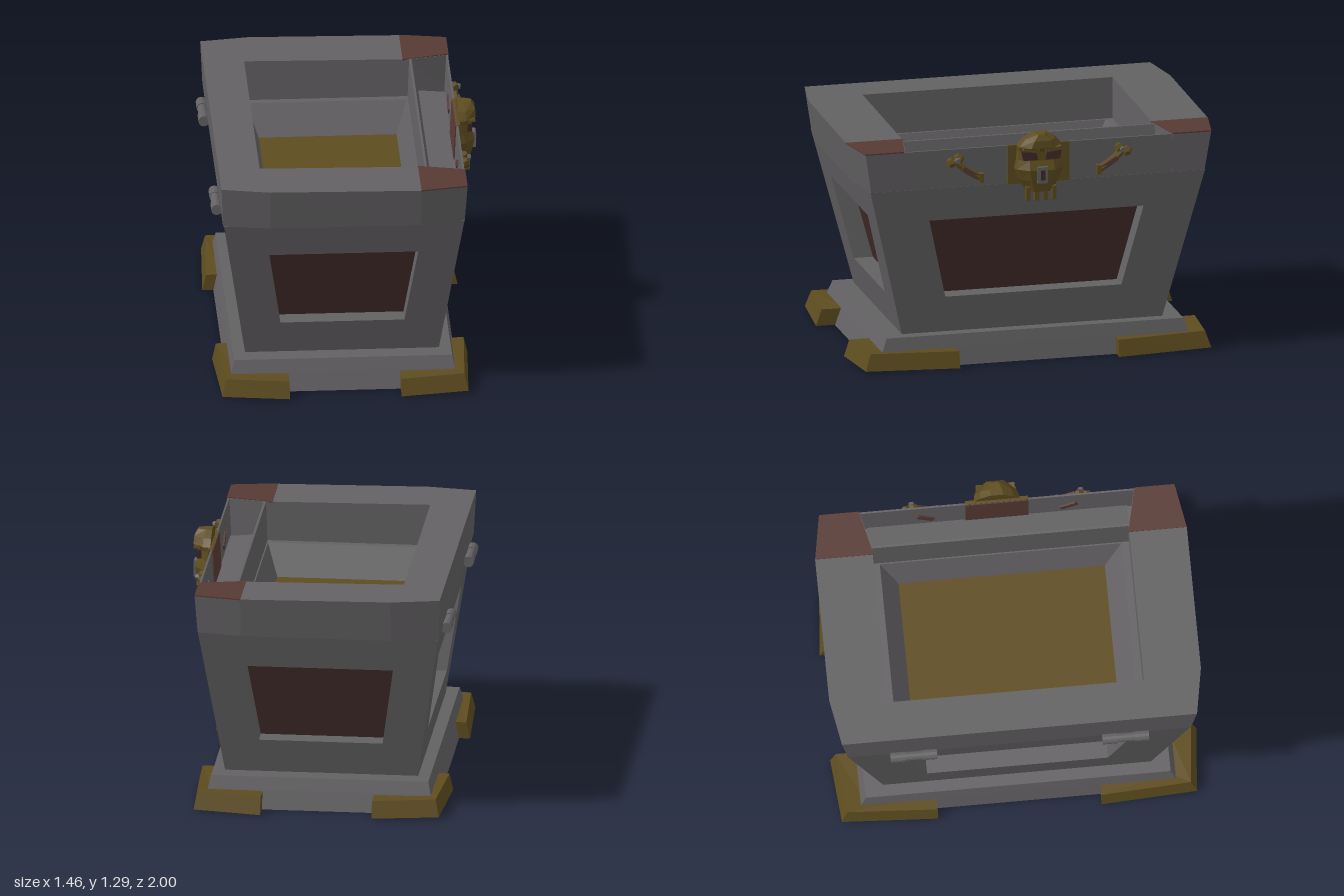
import * as THREE from 'three';

const mat = color => new THREE.MeshStandardMaterial({ color, flatShading: true });
const GREY = mat(0x636163), GOLD = mat(0x5d4c1e), BROWN = mat(0x412b28), RUST = mat(0x573a34);
const CX = -0.04; // body axis

function add(parent, name, geo, material, x = 0, y = 0, z = 0) {
  const mesh = new THREE.Mesh(geo, material);
  mesh.name = name;
  mesh.position.set(x, y, z);
  parent.add(mesh);
  return mesh;
}

// Skin through equal-length rings, listed counter-clockwise seen from above
function loft(rings, capped = false) {
  const v = [], n = rings[0].length;
  for (let k = 0; k + 1 < rings.length; k++) {
    for (let i = 0; i < n; i++) {
      const j = (i + 1) % n, a = rings[k], b = rings[k + 1];
      v.push(...a[i], ...a[j], ...b[j], ...a[i], ...b[j], ...b[i]);
    }
  }
  const first = rings[0], last = rings[rings.length - 1];
  for (let i = 1; capped && i + 1 < n; i++) {
    v.push(...first[0], ...first[i + 1], ...first[i], ...last[0], ...last[i], ...last[i + 1]);
  }
  const geo = new THREE.BufferGeometry();
  geo.setAttribute('position', new THREE.Float32BufferAttribute(v, 3));
  geo.computeVertexNormals();
  return geo;
}

const rect = (hx, hz, y) => [[CX - hx, y, hz], [CX + hx, y, hz], [CX + hx, y, -hz], [CX - hx, y, -hz]];

// Moves every vertex by a rule
function warp(geo, rule) {
  const p = geo.attributes.position, v = new THREE.Vector3();
  for (let i = 0; i < p.count; i++) {
    rule(v.fromBufferAttribute(p, i));
    p.setXYZ(i, v.x, v.y, v.z);
  }
  geo.computeVertexNormals();
  return geo;
}

const shapeOf = pts => new THREE.Shape(pts.map(p => new THREE.Vector2(...p)));
const prism = (shape, depth) => new THREE.ExtrudeGeometry(shape, { depth, bevelEnabled: false });
// Plan outline (x, z) raised from y0 to y1
function slab(pts, y0, y1) {
  return prism(shapeOf(pts.map(([x, z]) => [x, -z])), y1 - y0).rotateX(-Math.PI / 2).translate(0, y0, 0);
}

// Body dimensions, widening upward
const Y0 = 0.165, Y1 = 1.0, RECESS = 0.105;
const halfX = y => 0.52 + 0.125 * (y - Y0) / (Y1 - Y0);
const halfZ = y => 0.72 + 0.205 * (y - Y0) / (Y1 - Y0);

// One sloping wall with a recessed panel, built facing +z and turned
function wall(parent, turn, halfWidth, offset, { bottom, top, low, high }) {
  const shape = shapeOf([[-halfWidth(Y0), Y0], [halfWidth(Y0), Y0], [halfWidth(Y1), Y1], [-halfWidth(Y1), Y1]]);
  const pts = [[-low, bottom], [low, bottom], [high, top], [-high, top]];
  shape.holes.push(new THREE.Path(pts.map(p => new THREE.Vector2(...p))));
  const side = new THREE.Group();
  side.name = 'bodySide';
  side.rotation.y = turn;
  side.position.x = CX;
  const outline = depth => pts.map(([x, y]) => [x, y, offset(y) - depth]);
  const lean = depth => v => { v.z = offset(v.y) - depth; };
  add(side, 'wall', warp(new THREE.ShapeGeometry(shape), lean(0)), GREY);
  add(side, 'panelReveal', loft([outline(0), outline(RECESS)]), GREY);
  add(side, 'panel', warp(new THREE.ShapeGeometry(shapeOf(pts)), lean(RECESS)), BROWN);
  parent.add(side);
}

function makeBase(root) {
  const base = new THREE.Group();
  base.name = 'base';
  // Underside, stepped sides and top ledge
  const rings = [[0, 0.26, 0], [0.62, 0.88, 0], [0.6, 0.845, 0.1], [0.585, 0.82, Y0], [0.515, 0.715, Y0]];
  add(base, 'plinth', loft(rings.map(r => rect(...r))), GREY);
  // Gold L-shaped feet, drawn in at the corner and tapering upward
  for (const sx of [-1, 1]) for (const sz of [-1, 1]) {
    const L = [[0.3, 0.985], [0.66, 0.955], [0.685, 0.44], [0.58, 0.44], [0.58, 0.82], [0.3, 0.82]];
    const foot = slab(L.map(([x, z]) => [x * sx, z * sz]), 0.002, 0.092);
    warp(foot, v => {
      const outX = Math.abs(v.x) > 0.6, outZ = Math.abs(v.z) > 0.9;
      const upper = v.y > 0.05;
      if (outX && outZ) v.y += 0.01;
      if (upper && outX) v.x -= sx * 0.02;
      if (upper && outZ) v.z -= sz * 0.03;
    });
    add(base, 'cornerFoot', foot, GOLD, -0.035);
  }
  root.add(base);
}

function makeBody(root) {
  const body = new THREE.Group();
  body.name = 'body';
  for (const k of [0, 1]) {
    wall(body, k * Math.PI, halfX, halfZ, { bottom: 0.355, top: 0.805, low: 0.333, high: 0.4 });
    wall(body, (k + 0.5) * Math.PI, halfZ, halfX, { bottom: 0.365, top: 0.815, low: 0.487, high: 0.592 });
  }
  // Rim, sloping inner sides and the golden filling
  add(body, 'rim', loft([rect(0.645, 0.925, Y1), rect(0.43, 0.65, Y1), rect(0.37, 0.555, 0.84)]), GREY);
  add(body, 'filling', loft([rect(0.37, 0.555, 0.84), rect(0, 0.185, 0.84)]), GOLD);
  root.add(body);
}

function makeLid(root) {
  const lid = new THREE.Group();
  lid.name = 'lidFrame';
  // Back and side rails with clipped outer corners, rising slightly to the back
  const half = [[0.41, 0.69], [0.62, 0.74], [0.62, 0.955], [0.37, 1], [-0.44, 1], [-0.7, 0.955]];
  const inner = [-0.48, 0.69];
  const mirror = pts => pts.map(([x, z]) => [x, -z]).reverse();
  const rails = slab([inner, ...half, ...mirror(half), [inner[0], -inner[1]]], 1.001, 1.218);
  warp(rails, v => {
    if (v.y > 1.1) {
      v.y += (0.41 - v.x) * 0.013;
      return;
    }
    if (Math.abs(v.z) > 0.9) v.z *= 0.965;
    if (v.x < -0.6) v.x = -0.69;
    if (v.x > 0.6) v.x = 0.607;
  });
  add(lid, 'rails', rails, GREY);
  // Hollow front: inner ridge, channel floor and thin outer plate
  const sections = {
    frontRidge: [[0.397, 1.001], [0.46, 1.001], [0.418, 1.218], [0.405, 1.218]],
    channelFloor: [[0.44, 1.001], [0.606, 1.001], [0.606, 1.015], [0.44, 1.03]],
    frontPlate: [[0.597, 1.001], [0.607, 1.001], [0.617, 1.215], [0.607, 1.215]],
  };
  for (const [name, pts] of Object.entries(sections)) {
    const length = name === 'frontPlate' ? 1.49 : 1.4;
    add(lid, name, prism(shapeOf(pts), length), GREY, 0, 0, -length / 2);
  }
  // Rust-coloured caps lying flush on the front corners
  for (const s of [-1, 1]) {
    const cap = [[0.37, 0.685], [0.37, 1], [0.62, 0.956], [0.62, 0.742]];
    add(lid, 'cornerCap', slab(cap.map(([x, z]) => [x, z * s]), 1.214, 1.221), RUST);
  }
  // Brown backing behind the lock, inside the channel
  const backing = add(lid, 'lockBacking', new THREE.BoxGeometry(0.006, 0.205, 0.34), RUST, 0.599, 1.112, 0);
  backing.rotation.z = -0.047;
  root.add(lid);
}

function makeHinges(root) {
  for (const s of [-1, 1]) {
    const hinge = new THREE.Group();
    hinge.name = 'hinge';
    hinge.position.set(-0.71, 0.995, s * 0.57);
    for (const [z, r, len] of [[-0.085, 0.03, 0.08], [0, 0.025, 0.09], [0.085, 0.03, 0.08]]) {
      add(hinge, 'knuckle', new THREE.CylinderGeometry(r, r, len, 12).rotateX(Math.PI / 2), GREY, 0, 0, z);
    }
    root.add(hinge);
  }
}

// Skull-shaped lock, built facing +z and turned to the front
function makeLock(root) {
  const lock = new THREE.Group();
  lock.name = 'skullLock';
  lock.position.x = 0.61;
  lock.rotation.y = Math.PI / 2;
  add(lock, 'plate', new THREE.BoxGeometry(0.34, 0.215, 0.02), GOLD, 0, 1.11, 0.008);
  const ring = (y, w, d) => [[-w, y, 0.01], [-w * 0.92, y, d * 0.5], [-w * 0.5, y, d], [w * 0.5, y, d], [w * 0.92, y, d * 0.5], [w, y, 0.01]];
  const rows = [[0.965, 0.075, 0.075], [1.03, 0.115, 0.09], [1.09, 0.14, 0.1], [1.14, 0.13, 0.08],
    [1.19, 0.125, 0.08], [1.215, 0.125, 0.108], [1.255, 0.09, 0.105], [1.287, 0.035, 0.085]];
  add(lock, 'skull', loft(rows.map(r => ring(...r)), true), GOLD);
  for (const s of [-1, 1]) {
    const eye = shapeOf([[0.02 * s, 1.145], [0.1 * s, 1.145], [0.11 * s, 1.195], [0.03 * s, 1.185]]);
    add(lock, 'eye', prism(eye, 0.022), BROWN, 0, 0, 0.062);
    const brow = add(lock, 'brow', new THREE.BoxGeometry(0.09, 0.016, 0.035), GOLD, s * 0.06, 1.205, 0.085);
    brow.rotation.z = s * 0.15;
    for (const x of [0.024, 0.072]) {
      add(lock, 'tooth', new THREE.BoxGeometry(0.024, 0.075, 0.03), GOLD, s * x, 0.955, 0.06);
    }
  }
  add(lock, 'keyPlate', new THREE.BoxGeometry(0.055, 0.09, 0.02), GREY, 0, 1.065, 0.1);
  add(lock, 'keyhole', new THREE.BoxGeometry(0.025, 0.055, 0.006), BROWN, 0, 1.065, 0.111);
  root.add(lock);
}

// Curved bones either side of the lock
function makeBones(root) {
  for (const s of [-1, 1]) {
    const bone = new THREE.Group();
    bone.name = 'bone';
    const at = (x, y, z) => new THREE.Vector3(x, y, z * s);
    const path = new THREE.CatmullRomCurve3([at(0.63, 1.15, 0.46), at(0.636, 1.105, 0.41), at(0.648, 1.055, 0.325)]);
    add(bone, 'shaft', new THREE.TubeGeometry(path, 6, 0.021, 6), GOLD);
    add(bone, 'lowerEnd', new THREE.BoxGeometry(0.04, 0.05, 0.022), GOLD, 0.648, 1.057, s * 0.325);
    // Brown inlays on the outside and on the back within the channel
    for (const [x, height] of [[0.656, 0.026], [0.6, 0.035]]) {
      const inlay = add(bone, 'inlay', new THREE.BoxGeometry(0.014, height, 0.1), RUST, x, 1.09, s * 0.385);
      inlay.rotation.x = s * -0.55;
    }
    for (const [y, z] of [[1.165, 0.445], [1.145, 0.485]]) {
      add(bone, 'knob', new THREE.DodecahedronGeometry(0.029), GOLD, 0.63, y, s * z);
    }
    add(bone, 'stud', new THREE.CylinderGeometry(0.014, 0.018, 0.02, 6).rotateZ(-Math.PI / 2), GREY, 0.657, 1.16, s * 0.455);
    root.add(bone);
  }
}

export function createModel() {
  const root = new THREE.Group();
  root.name = 'treasureChest';
  for (const make of [makeBase, makeBody, makeLid, makeHinges, makeLock, makeBones]) make(root);
  return root;
}
